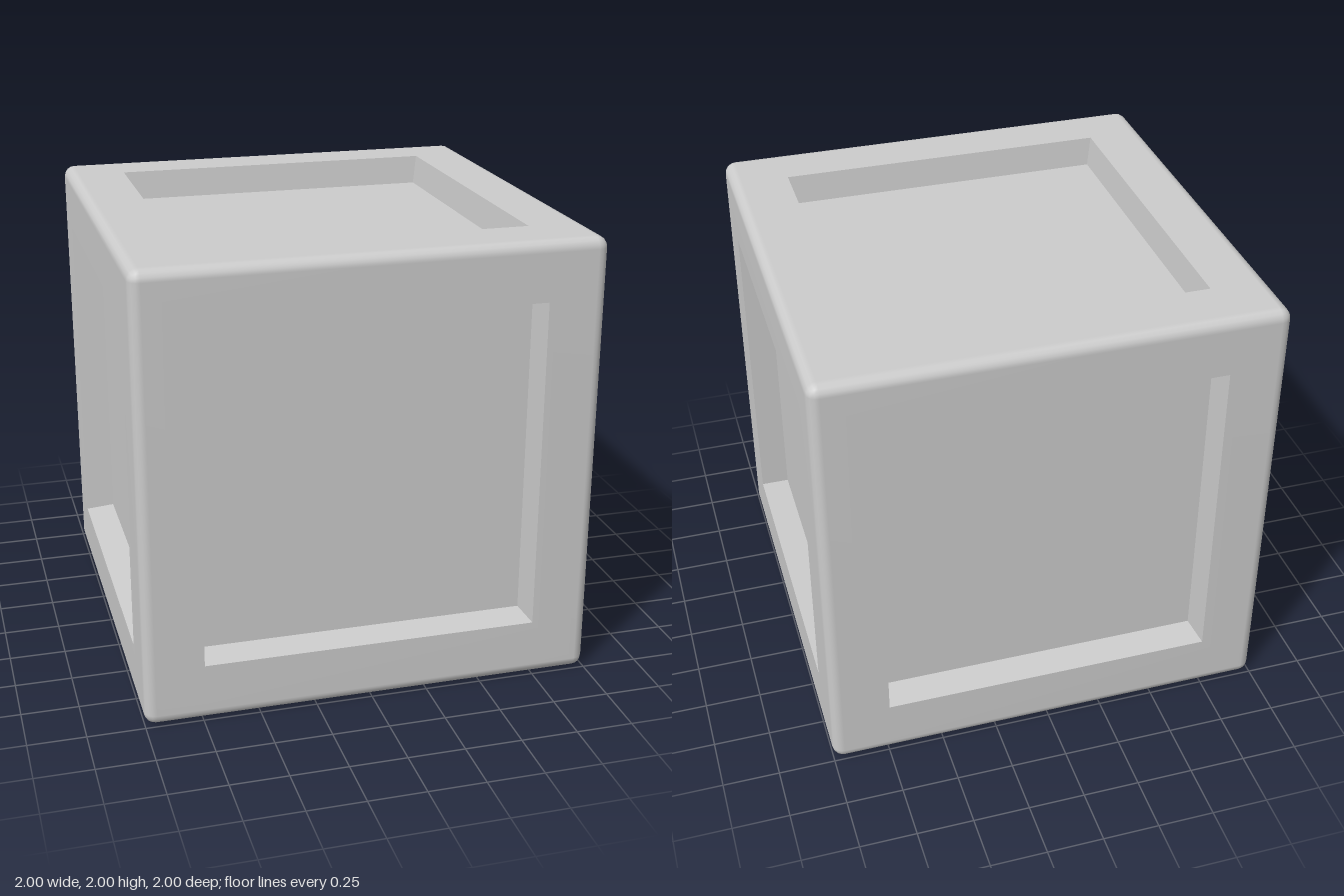
import * as THREE from 'three';
import { mergeVertices } from 'three/addons/utils/BufferGeometryUtils.js';

const R = 0.05;      // edge rounding
const CORE = 1 - R;  // half-size of the flat part of a face
const DEPTH = 0.13;  // recess depth
const FLOOR = 0.72;  // half-size of each recessed panel

// One entry per side: rotation from +z, and half-size of the recess opening.
const SIDES = [
  { name: 'front', rot: [0, 0, 0], open: 0.74 },
  { name: 'back', rot: [0, Math.PI, 0], open: 0.74 },
  { name: 'left', rot: [0, Math.PI / 2, 0], open: 0.72 },
  { name: 'right', rot: [0, -Math.PI / 2, 0], open: 0.74 },
  { name: 'top', rot: [-Math.PI / 2, 0, 0], open: 0.74 },
  { name: 'bottom', rot: [Math.PI / 2, 0, 0], open: 0.74 },
];

// Point on the rounded face that looks along +z.
function roundedPoint(u, v) {
  const cu = THREE.MathUtils.clamp(u, -CORE, CORE);
  const cv = THREE.MathUtils.clamp(v, -CORE, CORE);
  const offset = new THREE.Vector3(u - cu, v - cv, R).setLength(R);
  return offset.add(new THREE.Vector3(cu, cv, CORE));
}

// Rounded shell with a square opening in every side.
function shellGeometry() {
  const outer = [1, Math.tan(Math.PI / 8), 0].map((t) => CORE + t * R);
  const lines = [...outer.map((t) => -t), ...outer.slice().reverse()];
  const mid = 2; // index of the large central cell
  const positions = [];
  for (const { rot, open } of SIDES) {
    const euler = new THREE.Euler(...rot);
    const quad = (a, b, c, d) => {
      for (const p of [a, b, c, a, c, d]) positions.push(...p.clone().applyEuler(euler).toArray());
    };
    for (let i = 0; i < lines.length - 1; i++) {
      for (let j = 0; j < lines.length - 1; j++) {
        if (i === mid && j === mid) continue;
        const [u0, u1, v0, v1] = [lines[i], lines[i + 1], lines[j], lines[j + 1]];
        quad(roundedPoint(u0, v0), roundedPoint(u1, v0), roundedPoint(u1, v1), roundedPoint(u0, v1));
      }
    }
    // Flat frame around the opening, as four trapezoids
    const corners = [[-1, -1], [1, -1], [1, 1], [-1, 1]];
    const corner = (k, s) => new THREE.Vector3(corners[k % 4][0] * s, corners[k % 4][1] * s, 1);
    for (let k = 0; k < 4; k++) {
      quad(corner(k, CORE), corner(k + 1, CORE), corner(k + 1, open), corner(k, open));
    }
  }
  const geometry = new THREE.BufferGeometry();
  geometry.setAttribute('position', new THREE.Float32BufferAttribute(positions, 3));
  const merged = mergeVertices(geometry, 1e-4);
  merged.computeVertexNormals();
  return merged;
}

// Four inward-facing walls, tapering from the opening to the panel.
function wallsGeometry(open) {
  const geometry = new THREE.CylinderGeometry(open * Math.SQRT2, FLOOR * Math.SQRT2, DEPTH, 4, 1, true)
    .rotateY(Math.PI / 4)
    .rotateX(Math.PI / 2)
    .scale(-1, 1, 1) // turns the faces inward
    .translate(0, 0, 1 - DEPTH / 2)
    .toNonIndexed();
  geometry.computeVertexNormals();
  return geometry;
}

export function createModel() {
  const model = new THREE.Group();
  model.name = 'crate';
  const smooth = new THREE.MeshStandardMaterial({ color: 0xcccccc });
  const flat = new THREE.MeshStandardMaterial({ color: 0xcccccc, flatShading: true });

  const add = (parent, name, geometry, material) => {
    const mesh = new THREE.Mesh(geometry, material);
    mesh.name = name;
    parent.add(mesh);
    return mesh;
  };

  const body = new THREE.Group();
  body.name = 'body';
  body.position.y = 1;
  model.add(body);
  add(body, 'frame', shellGeometry(), smooth);

  // Recessed panel on each side
  for (const { name, rot, open } of SIDES) {
    const recess = new THREE.Group();
    recess.name = `${name}Recess`;
    recess.rotation.set(...rot);
    add(recess, `${name}Walls`, wallsGeometry(open), flat);
    add(recess, `${name}Panel`, new THREE.PlaneGeometry(2 * FLOOR, 2 * FLOOR), flat)
      .position.z = 1 - DEPTH;
    body.add(recess);
  }
  return model;
}
